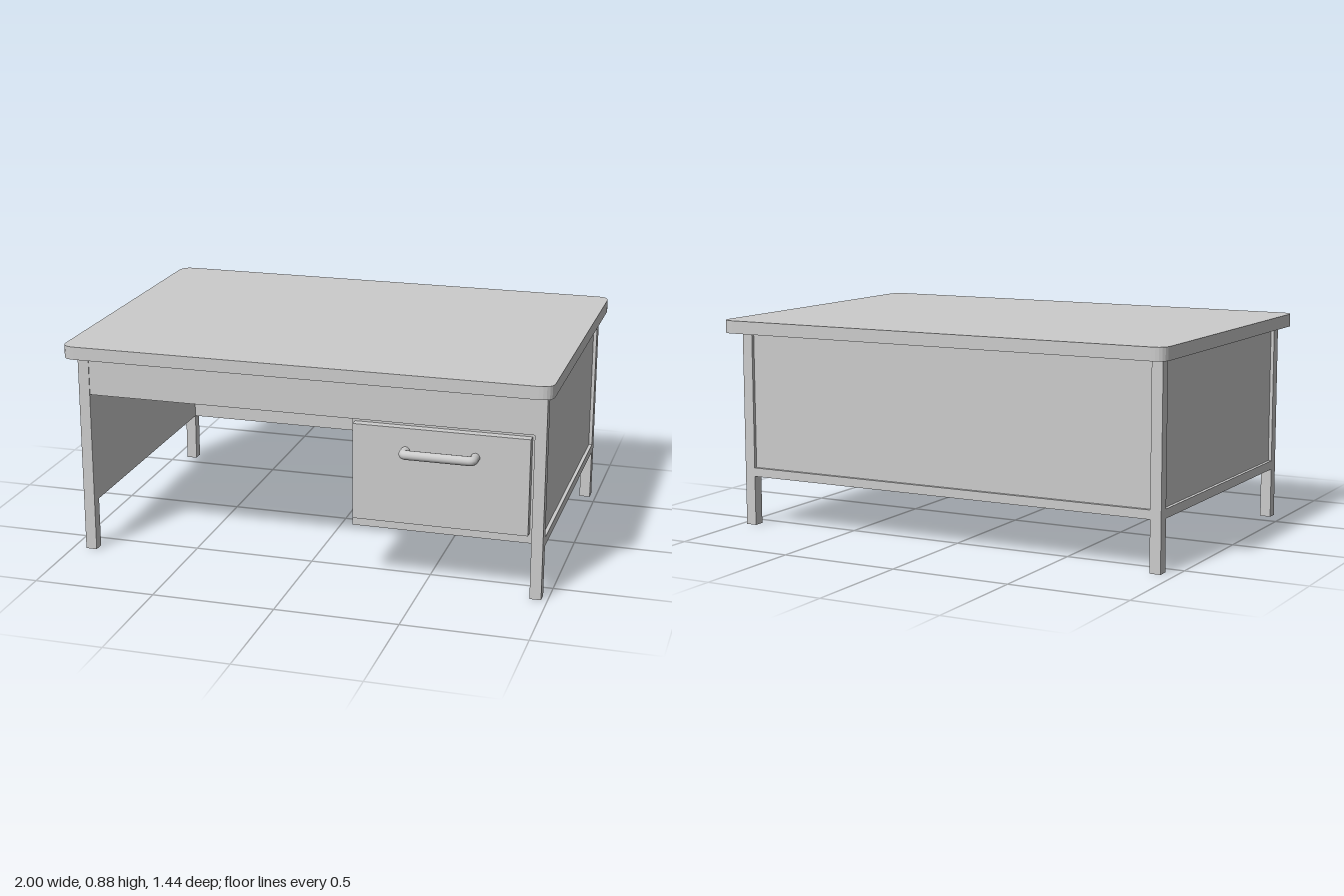
import * as THREE from 'three';

export function createModel() {
  const desk = new THREE.Group();
  desk.name = 'desk';
  const grey = new THREE.MeshStandardMaterial({ color: 0xcccccc });

  const add = (name, geometry) => {
    const mesh = new THREE.Mesh(geometry, grey);
    mesh.name = name;
    desk.add(mesh);
    return mesh;
  };
  // Box given by its limits on each axis
  const box = (name, x0, x1, y0, y1, z0, z1) =>
    add(name, new THREE.BoxGeometry(x1 - x0, y1 - y0, z1 - z0))
      .position.set((x0 + x1) / 2, (y0 + y1) / 2, (z0 + z1) / 2);

  // Frame limits
  const left = 0.975, right = -0.945, front = 0.627, back = -0.603;
  const leg = 0.046, under = 0.83, railLow = 0.21, railHigh = 0.247;
  const inL = left - leg, inR = right + leg, inF = front - leg, inB = back + leg;

  // Table top with rounded corners
  const x = 1, zf = 0.665, zb = 0.717, r = 0.055;
  const outline = new THREE.Shape();
  outline.moveTo(-x + r, -zf);
  outline.lineTo(x - r, -zf);
  outline.quadraticCurveTo(x, -zf, x, -zf + r);
  outline.lineTo(x, zb - r);
  outline.quadraticCurveTo(x, zb, x - r, zb);
  outline.lineTo(-x + r, zb);
  outline.quadraticCurveTo(-x, zb, -x, zb - r);
  outline.lineTo(-x, -zf + r);
  outline.quadraticCurveTo(-x, -zf, -x + r, -zf);
  const top = new THREE.ExtrudeGeometry(outline, { depth: 0.053, bevelEnabled: false, curveSegments: 6 });
  top.rotateX(-Math.PI / 2);
  add('tableTop', top).position.y = under;

  // Legs
  for (const lx of [right, inL])
    for (const lz of [back, inF])
      box('leg', lx, lx + leg, 0, under, lz, lz + leg);

  // Side panels, set back from the frame, with bottom rails
  box('leftPanel', inL, left - 0.014, railHigh, under, inB, inF);
  box('rightPanel', right + 0.014, inR, railHigh, under, inB, inF);
  box('leftRail', inL, left, railLow, railHigh, inB, inF);
  box('rightRail', right, inR, railLow, railHigh, inB, inF);

  // Back panel and rail
  box('backPanel', inR, inL, railHigh, under, back + 0.014, inB);
  box('backRail', inR, inL, railLow, railHigh, back, inB);

  // Front apron, closed underneath
  box('apron', inR, inL, 0.675, under, inB, front - 0.003);

  // Drawer pedestal and drawer front
  box('pedestal', 0.207, inL, 0.23, 0.675, inB, front - 0.008);
  box('drawerFront', 0.217, 0.92, 0.273, 0.666, front - 0.008, 0.655);

  // Drawer handle: a round bar bent to a U
  const v = (px, pz) => new THREE.Vector3(px, 0.573, pz);
  const h0 = 0.43, h1 = 0.706, hz = 0.7, bend = 0.015;
  const path = new THREE.CurvePath();
  path.add(new THREE.LineCurve3(v(h0, 0.645), v(h0, hz - bend)));
  path.add(new THREE.QuadraticBezierCurve3(v(h0, hz - bend), v(h0, hz), v(h0 + bend, hz)));
  path.add(new THREE.LineCurve3(v(h0 + bend, hz), v(h1 - bend, hz)));
  path.add(new THREE.QuadraticBezierCurve3(v(h1 - bend, hz), v(h1, hz), v(h1, hz - bend)));
  path.add(new THREE.LineCurve3(v(h1, hz - bend), v(h1, 0.645)));
  add('drawerHandle', new THREE.TubeGeometry(path, 80, 0.0185, 14));

  return desk;
}
